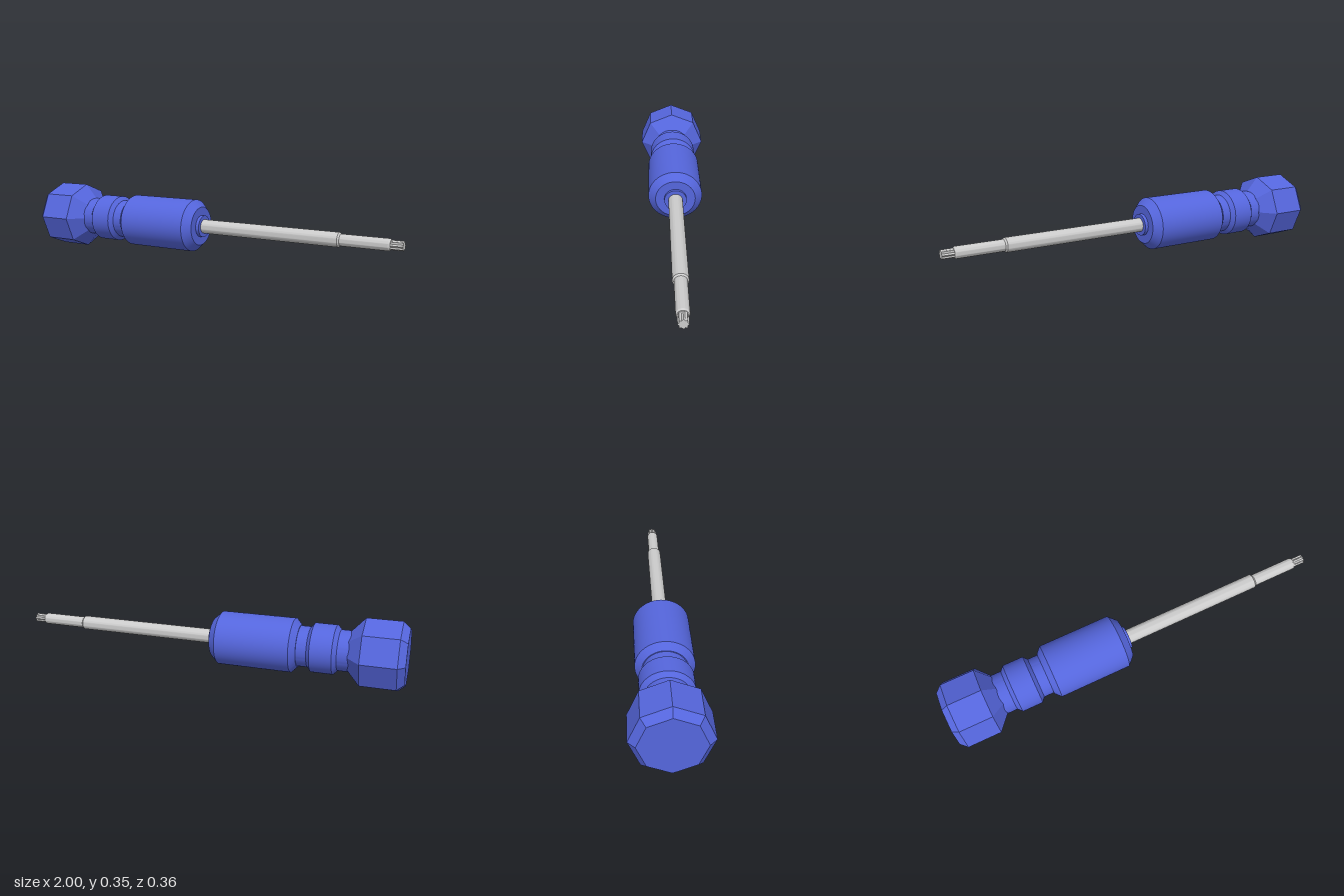
import * as THREE from 'three';
import { toCreasedNormals } from 'three/addons/utils/BufferGeometryUtils.js';

const AXIS_Y = 0.1735; // height of the long axis
const SQUASH = 0.958; // sections are slightly flatter than wide

export function createModel() {
  const model = new THREE.Group();
  const blue = new THREE.MeshStandardMaterial({ color: 0x5566dd });
  const blueFlat = new THREE.MeshStandardMaterial({ color: 0x5566dd, flatShading: true });
  const grey = new THREE.MeshStandardMaterial({ color: 0xcccccc });

  // Places a geometry already lying along x onto the tool's axis.
  function add(name, geometry, material) {
    geometry.scale(1, SQUASH, 1).translate(0, AXIS_Y, 0);
    const mesh = new THREE.Mesh(geometry, material);
    mesh.name = name;
    model.add(mesh);
  }

  // Turns a profile of [x, radius] pairs around the x axis.
  function turned(name, profile, material, sides = 64) {
    const points = profile.map(([x, r]) => new THREE.Vector2(r, x));
    const lathe = new THREE.LatheGeometry(points, sides).rotateZ(-Math.PI / 2);
    add(name, toCreasedNormals(lathe, 0.4), material);
  }

  // Eight-sided end cap of the handle
  turned('handleCap', [
    [-1, 0], [-1, 0.148], [-0.966, 0.181], [-0.795, 0.181], [-0.73, 0.106], [-0.73, 0],
  ], blueFlat, 8);

  // Neck with a raised ring
  turned('handleNeck', [
    [-0.76, 0], [-0.76, 0.104], [-0.68, 0.104], [-0.66, 0.126],
    [-0.553, 0.126], [-0.535, 0.104], [-0.47, 0.104], [-0.47, 0],
  ], blue);

  // Main grip with chamfered ends
  turned('handleGrip', [
    [-0.484, 0], [-0.484, 0.108], [-0.455, 0.14], [-0.083, 0.14], [-0.045, 0.103], [-0.045, 0],
  ], blue);

  turned('handleCollar', [[-0.06, 0], [-0.06, 0.058], [-0.028, 0.058], [-0.028, 0]], blue);

  // Stepped shaft
  turned('shaft', [
    [-0.04, 0], [-0.04, 0.037], [0.698, 0.037], [0.706, 0.03],
    [0.934, 0.03], [0.942, 0.025], [0.942, 0],
  ], grey, 48);

  // Lobed driving tip
  const lobes = 8;
  const outline = [];
  for (let i = 0; i < lobes * 8; i++) {
    const a = (i / (lobes * 8)) * Math.PI * 2;
    const r = 0.0215 + 0.0025 * Math.cos(lobes * a);
    outline.push(new THREE.Vector2(r * Math.cos(a), r * Math.sin(a)));
  }
  const tip = new THREE.ExtrudeGeometry(new THREE.Shape(outline), { depth: 0.065, bevelEnabled: false });
  tip.rotateY(Math.PI / 2).translate(0.935, 0, 0);
  add('drivingTip', toCreasedNormals(tip, 0.6), grey);

  return model;
}
